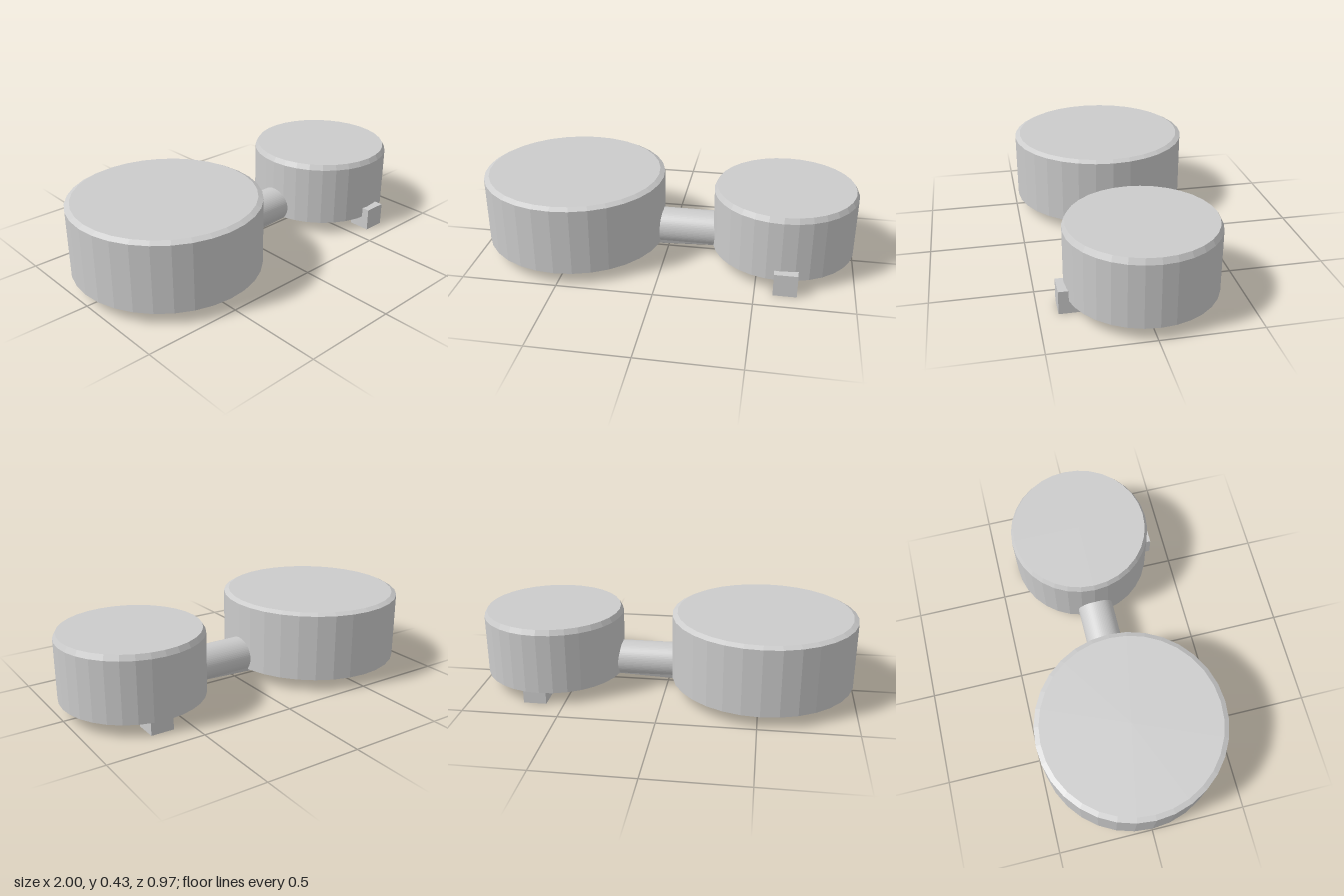
import * as THREE from 'three';

const material = new THREE.MeshStandardMaterial({ color: 0xcccccc, flatShading: true });

function add(group, name, geometry, x, y, z) {
  const mesh = new THREE.Mesh(geometry, material);
  mesh.name = name;
  mesh.position.set(x, y, z);
  group.add(mesh);
}

// Closed drum with a chamfered top edge and a shallow bevel round the base
function drum(radius, bottom, top, bevelWidth, bevelHeight) {
  const profile = [
    [0, bottom], [radius - 0.027, bottom], [radius, bottom + 0.005],
    [radius, top - bevelHeight], [radius - bevelWidth, top], [0, top],
  ].map(([r, y]) => new THREE.Vector2(r, y));
  return new THREE.LatheGeometry(profile, 32);
}

// Round bar along x with a flat underside that slopes gently from end to end
function connector(length, radius) {
  const shape = new THREE.Shape();
  const cut = -0.7;
  shape.absarc(0, 0, radius, cut, Math.PI - cut, false);
  shape.closePath();
  const geometry = new THREE.ExtrudeGeometry(shape, { depth: length, bevelEnabled: false, curveSegments: 24 });
  geometry.rotateY(Math.PI / 2);
  const p = geometry.attributes.position;
  const low = radius * Math.sin(cut);
  for (let i = 0; i < p.count; i++) {
    if (p.getY(i) < low + 0.001) {
      p.setY(i, -0.08 + 0.017 * p.getX(i) / length);
      p.setZ(i, p.getZ(i) * 0.97);
    }
  }
  geometry.computeVertexNormals();
  return geometry;
}

export function createModel() {
  const group = new THREE.Group();

  // Two drums joined by the bar
  add(group, 'largeDrum', drum(0.487, 0.058, 0.43, 0.026, 0.014), -0.513, 0, -0.002);
  add(group, 'smallDrum', drum(0.376, 0.062, 0.412, 0.015, 0.027), 0.624, 0, -0.008);
  add(group, 'connectingBar', connector(0.37, 0.097), -0.07, 0.128, -0.005);

  // Block feet at the front and back of the small drum
  for (const [name, z] of [['frontFoot', 0.347], ['backFoot', -0.312]]) {
    add(group, name, new THREE.BoxGeometry(0.12, 0.12, 0.117), 0.653, 0.06, z);
  }
  return group;
}
